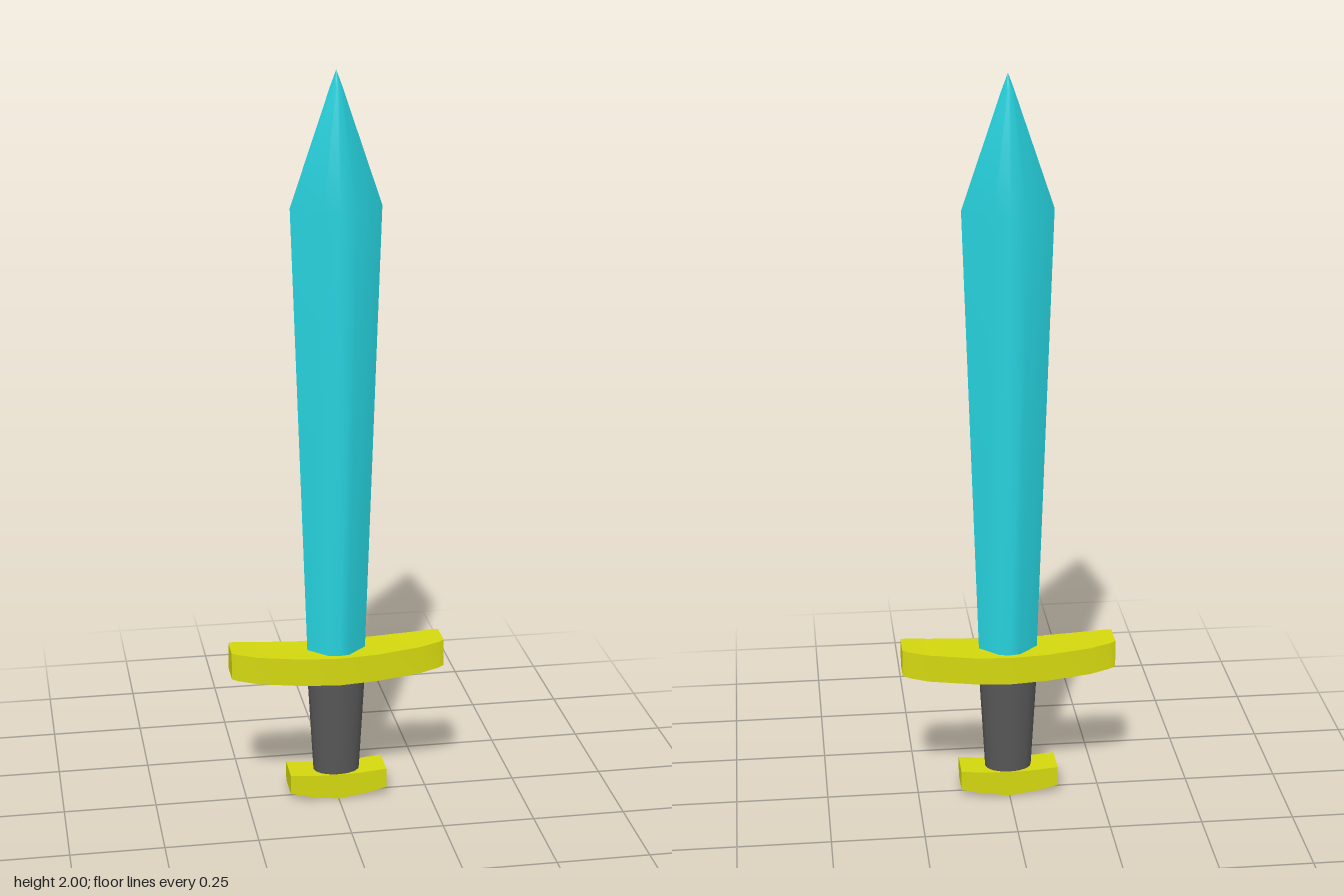
import * as THREE from 'three';

// Surface through rows of points; faces along (row direction) x (column direction).
function sheet(rows) {
  const n = rows[0].length, index = [];
  for (let i = 0; i < rows.length - 1; i++) {
    for (let j = 0; j < n - 1; j++) {
      const a = i * n + j, b = a + n;
      index.push(a, b, a + 1, b, b + 1, a + 1);
    }
  }
  const geometry = new THREE.BufferGeometry();
  geometry.setAttribute('position', new THREE.Float32BufferAttribute(rows.flat(2), 3));
  geometry.setIndex(index);
  geometry.computeVertexNormals();
  return geometry;
}

export function createModel() {
  const model = new THREE.Group();
  const paint = (name, color) => {
    const material = new THREE.MeshStandardMaterial({ color });
    material.name = name;
    return material;
  };
  const cyan = paint('cyan', 0x26d2de);
  const gold = paint('yellow', 0xd4d80e);
  const grey = paint('dark grey', 0x575757);

  const add = (name, geometry, material, parent = model) => {
    const mesh = new THREE.Mesh(geometry, material);
    mesh.name = name;
    parent.add(mesh);
    return mesh;
  };

  // Blade: two smooth halves meeting at sharp cutting edges
  const section = [[1, 0], [0.35, 0.93], [0, 1], [-0.35, 0.93], [-1, 0]];
  const stations = [[0.39, 0.078, 0.051], [1.65, 0.12, 0.067], [1.96, 0.015, 0.017], [2, 0, 0]];
  const half = sheet(stations.map(([y, w, d]) => section.map(([x, z]) => [x * w, y, z * d])));
  add('bladeFront', half, cyan);
  add('bladeBack', half, cyan).rotation.y = Math.PI;

  // Guard: upswept bar, [x, half depth, bottom, top] per station, mirrored
  const side = [[0.1, 0.064, 0.353, 0.43], [0.22, 0.055, 0.363, 0.44],
    [0.275, 0.045, 0.372, 0.448], [0.29, 0.037, 0.375, 0.45]];
  const bar = [...side.map(([x, ...r]) => [-x, ...r]).reverse(), [0, 0.069, 0.35, 0.428], ...side];
  const corners = bar.map(([x, d, b, t]) => [[x, b, d], [x, t, d], [x, t, -d], [x, b, -d], [x, b, d]]);
  const guard = new THREE.Group();
  guard.name = 'guard';
  model.add(guard);
  const strip = (k, from = 0, to = 9) => sheet(corners.slice(from, to).map(c => [c[k], c[k + 1]]));
  add('guardFront', strip(0), gold, guard);
  add('guardTop', strip(1), gold, guard);
  add('guardBack', strip(2), gold, guard);
  add('guardUndersideRightTip', strip(3, 0, 3), gold, guard);
  add('guardUndersideMiddle', strip(3, 2, 7), grey, guard);
  add('guardUndersideLeftTip', strip(3, 6, 9), gold, guard);
  const [r, l] = [corners[0], corners[8]];
  add('guardLeftEnd', sheet([[l[0], l[1]], [l[3], l[2]]]), gold, guard);
  add('guardRightEnd', sheet([[r[3], r[2]], [r[0], r[1]]]), gold, guard);

  // Grip: tapered oval handle
  const grip = add('grip', new THREE.CylinderGeometry(0.08, 0.063, 0.3, 16), grey);
  grip.position.y = 0.215;
  grip.scale.z = 0.68;

  // Pommel: shallow wedge, pointed below
  const outline = new THREE.Shape([[-0.133, 0.025], [-0.08, 0.012], [0, 0], [0.08, 0.012], [0.133, 0.025],
    [0.133, 0.08], [0.05, 0.073], [-0.05, 0.073], [-0.133, 0.08]].map(p => new THREE.Vector2(...p)));
  const pommel = new THREE.ExtrudeGeometry(outline, { depth: 0.09, bevelEnabled: false });
  pommel.translate(0, 0, -0.045);
  add('pommel', pommel, gold);

  return model;
}
